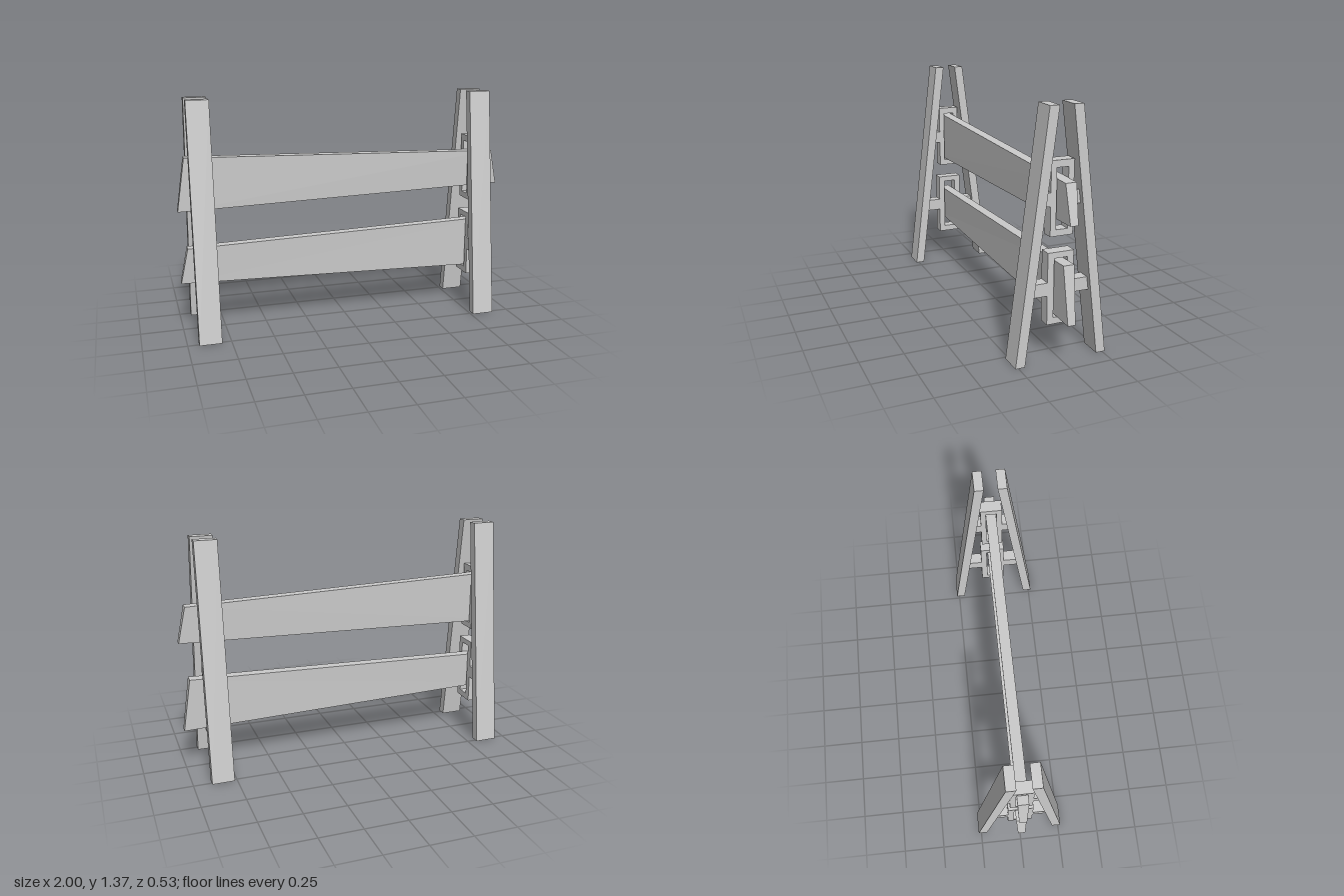
import * as THREE from 'three';

const material = new THREE.MeshStandardMaterial({ color: 0xcccccc, flatShading: true });

function add(parent, name, geometry) {
  const mesh = new THREE.Mesh(geometry, material);
  mesh.name = name;
  parent.add(mesh);
  return mesh;
}

function polygon(points) {
  return new THREE.Shape(points.map(([x, y]) => new THREE.Vector2(x, y)));
}

// Extrude a side profile (drawn as z, y) to a width centred on x = 0
function extrudeAcross(shape, width) {
  const geometry = new THREE.ExtrudeGeometry(shape, { depth: width, bevelEnabled: false });
  return geometry.translate(0, 0, -width / 2).rotateY(-Math.PI / 2);
}

const rect = (halfZ, y0, y1) => [[-halfZ, y0], [halfZ, y0], [halfZ, y1], [-halfZ, y1]];

const LEG_WIDTH = 0.13;
const FRAME_WIDTH = 0.07;
const HEIGHT = 1.372;
const legInnerZ = (y) => 0.213 - (0.173 * y) / HEIGHT;

// Rectangular collars that hold the boards, with arms out to the legs
const holders = [
  { name: 'upper', outer: [0.065, 0.69, 1.09], inner: [0.033, 0.725, 1.052], arm: [0.852, 0.925] },
  { name: 'lower', outer: [0.075, 0.203, 0.603], inner: [0.038, 0.24, 0.57], arm: [0.367, 0.44] },
];

function createTrestle(name) {
  const trestle = new THREE.Group();
  trestle.name = name;
  for (const side of [1, -1]) {
    // Leaning leg with level ends
    const leg = polygon([[0.213, 0], [0.267, 0], [0.094, HEIGHT], [0.04, HEIGHT]].map(([z, y]) => [z * side, y]));
    add(trestle, side > 0 ? 'frontLeg' : 'backLeg', extrudeAcross(leg, LEG_WIDTH));
  }
  for (const { name: level, outer, inner, arm } of holders) {
    const frame = polygon(rect(...outer));
    frame.holes.push(polygon(rect(...inner).reverse()));
    add(trestle, level + 'Frame', extrudeAcross(frame, FRAME_WIDTH));
    for (const side of [1, -1]) {
      const [y0, y1] = arm;
      const z = outer[0] - 0.002;
      const shape = polygon([[z, y0], [legInnerZ(y0) + 0.01, y0], [legInnerZ(y1) + 0.01, y1], [z, y1]]
        .map(([a, b]) => [a * side, b]));
      add(trestle, level + (side > 0 ? 'FrontArm' : 'BackArm'), extrudeAcross(shape, FRAME_WIDTH));
    }
  }
  return trestle;
}

// Board with splayed ends, thinner along its lower edge
function createBoard(corners, topHalf, bottomHalf) {
  const geometry = new THREE.ExtrudeGeometry(polygon(corners), { depth: 1, bevelEnabled: false });
  geometry.translate(0, 0, -0.5);
  const position = geometry.attributes.position;
  for (let i = 0; i < position.count; i++) {
    const isBottom = Math.abs(position.getX(i)) > 0.98;
    position.setZ(i, position.getZ(i) * 2 * (isBottom ? bottomHalf : topHalf));
  }
  geometry.computeVertexNormals();
  return geometry;
}

export function createModel() {
  const model = new THREE.Group();
  model.name = 'boardBarrier';

  for (const [name, x] of [['rightTrestle', -0.87], ['leftTrestle', 0.83]]) {
    const trestle = createTrestle(name);
    trestle.position.x = x;
    model.add(trestle);
  }

  // The two boards taper in opposite directions
  add(model, 'upperBoard', createBoard(
    [[-1, 0.727], [1, 0.78], [0.955, 0.992], [-0.953, 1.042]], 0.031, 0.022));
  add(model, 'lowerBoard', createBoard(
    [[-1, 0.295], [1, 0.243], [0.953, 0.558], [-0.955, 0.506]], 0.031, 0.022));

  return model;
}
